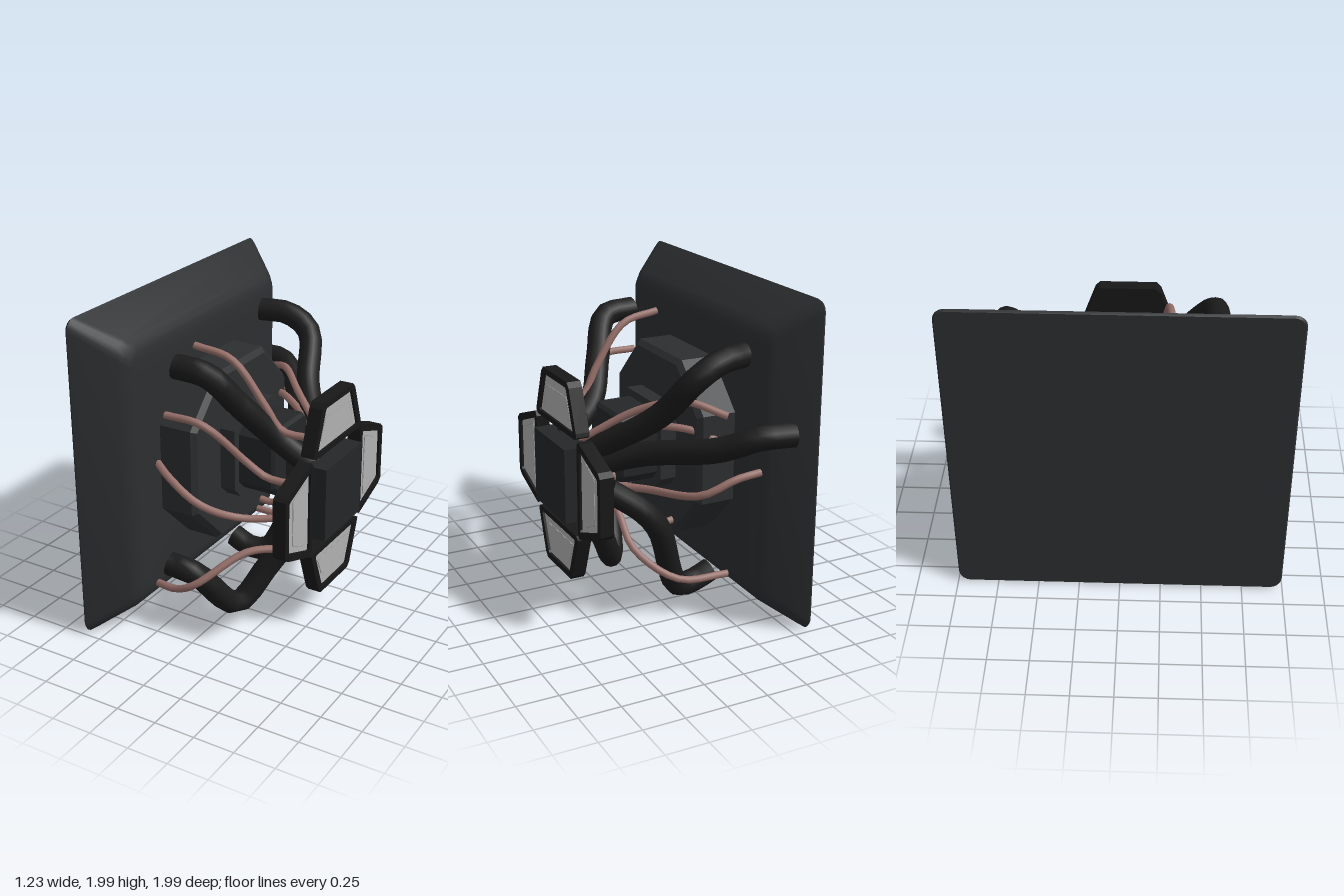
import * as THREE from 'three';
import { toCreasedNormals } from 'three/addons/utils/BufferGeometryUtils.js';

const mat = (color, side = THREE.FrontSide) => new THREE.MeshStandardMaterial({ color, side });

// Rings of rounded squares [halfSize, cornerRadius, z] joined along local z, capped at both ends
function loftSquares(rings) {
  const pos = [], idx = [], q = 5, n = q * 4;
  for (const [h, r, z] of rings)
    for (let c = 0; c < 4; c++)
      for (let i = 0; i < q; i++) {
        const a = (c + i / (q - 1)) * Math.PI / 2, m = (c + 0.5) * Math.PI / 2;
        pos.push(Math.sign(Math.cos(m)) * (h - r) + r * Math.cos(a),
          Math.sign(Math.sin(m)) * (h - r) + r * Math.sin(a), z);
      }
  for (let k = 0; k < rings.length - 1; k++)
    for (let i = 0; i < n; i++) {
      const a = k * n + i, b = k * n + (i + 1) % n;
      idx.push(a, b, b + n, a, b + n, a + n);
    }
  const last = (rings.length - 1) * n;
  for (let i = 1; i < n - 1; i++) idx.push(0, i + 1, i, last, last + i, last + i + 1);
  const g = new THREE.BufferGeometry();
  g.setAttribute('position', new THREE.Float32BufferAttribute(pos, 3));
  g.setIndex(idx);
  return toCreasedNormals(g, 0.6);
}

const shapeOf = (pts) => new THREE.Shape(pts.map(([x, y]) => new THREE.Vector2(x, y)));

// Square with cut corners
function octagon(h, cut) {
  const c = h - cut;
  return shapeOf([[h, -c], [h, c], [c, h], [-c, h], [-h, c], [-h, -c], [-c, -h], [c, -h]]);
}

// Trapezoid with clipped corners, its wide edge facing the hub
function trapezoid(y0, y1, w0, w1, cut) {
  const s = (w0 - w1) / (y1 - y0) * cut;
  const half = [[w0 - cut, y0], [w0, y0 + cut * 0.6], [w0 - s * 0.6, y0 + cut * 1.4], [w1 + s, y1 - cut], [w1 - cut * 0.6, y1]];
  return [...half, ...half.map(([x, y]) => [-x, y]).reverse()];
}

export function createModel() {
  const model = new THREE.Group();
  const dark = mat(0x2c2e30), hub = mat(0x242628), black = mat(0x181818);
  const grey = mat(0xb0b0b0), trim = mat(0x9c9c9c);
  const rubber = mat(0x1b1b1b, THREE.DoubleSide), copper = mat(0x966f69, THREE.DoubleSide);
  const add = (parent, name, geo, material, x = 0, y = 0, z = 0) => {
    const m = new THREE.Mesh(geo, material);
    m.name = name;
    m.position.set(x, y, z);
    parent.add(m);
    return m;
  };
  const extrude = (shape, depth, bevel = 0) => new THREE.ExtrudeGeometry(shape, {
    depth: depth - bevel, bevelEnabled: bevel > 0, bevelThickness: bevel, bevelSize: bevel,
    bevelOffset: -bevel, bevelSegments: 1, curveSegments: 1 });

  // Everything stacked outward from the wall: local +z becomes world +x
  const stack = new THREE.Group();
  stack.name = 'mount';
  stack.rotation.y = Math.PI / 2;
  model.add(stack);

  // Wall plate
  add(stack, 'wallPlate', loftSquares([
    [0.985, 0.06, -0.615], [0.995, 0.07, -0.6], [0.975, 0.07, -0.57],
    [0.85, 0.09, -0.39], [0.815, 0.09, -0.355], [0.775, 0.09, -0.335], [0.73, 0.09, -0.328],
  ]), dark, 0, 1.0, 0);

  // Stepped octagonal base
  add(stack, 'base', extrude(octagon(0.54, 0.27), 0.25, 0.03), dark, 0, 1.0, -0.34);
  add(stack, 'collar', extrude(octagon(0.262, 0.07), 0.12), dark, 0, 1.005, -0.11);
  add(stack, 'neck', extrude(octagon(0.215, 0.06), 0.25, 0.02), hub, 0, 1.005, 0);
  add(stack, 'joint', new THREE.BoxGeometry(0.14, 0.14, 0.22), hub, 0, 0.93, 0.33);

  // Hub with its four lamp panels
  const head = new THREE.Group();
  head.name = 'lampHead';
  head.position.set(-0.013, 0.853, 0);
  stack.add(head);
  add(head, 'verticalArm', new THREE.BoxGeometry(0.1, 0.73, 0.1), hub, 0, 0, 0.43);
  add(head, 'horizontalArm', new THREE.BoxGeometry(0.74, 0.11, 0.11), hub, 0, 0, 0.425);
  add(head, 'hubBlock', new THREE.BoxGeometry(0.456, 0.46, 0.16), hub, 0, 0, 0.53);

  const frame = shapeOf(trapezoid(0.3, 0.617, 0.3, 0.195, 0.03));
  const inner = trapezoid(0.332, 0.58, 0.25, 0.16, 0.012);
  frame.holes.push(new THREE.Path(inner.map(([x, y]) => new THREE.Vector2(x, y))));
  const frameGeo = extrude(frame, 0.085);
  const backGeo = extrude(shapeOf(trapezoid(0.31, 0.607, 0.29, 0.185, 0.03)), 0.03);
  const lensGeo = extrude(shapeOf(inner), 0.04);
  const insetGeo = extrude(shapeOf(trapezoid(0.385, 0.515, 0.2, 0.145, 0.012)), 0.006);
  for (let i = 0; i < 4; i++) {
    const panel = new THREE.Group();
    panel.name = 'lampPanel';
    panel.rotation.z = i * Math.PI / 2;
    head.add(panel);
    add(panel, 'panelFrame', frameGeo, black, 0, 0, 0.48);
    add(panel, 'panelBack', backGeo, black, 0, 0, 0.482);
    add(panel, 'panelLens', lensGeo, grey, 0, 0, 0.51);
    add(panel, 'panelInset', insetGeo, trim, 0, 0, 0.547);
    add(panel, 'panelInsetFace', insetGeo, grey, 0, 0.45 * 0.03, 0.548).scale.set(0.97, 0.97, 1);
  }

  // Cables, with flat ends
  const cable = (name, r, sides, material, ...pts) => {
    const curve = new THREE.CatmullRomCurve3(pts.map((p) => new THREE.Vector3(...p)), false, 'centripetal');
    add(model, name, new THREE.TubeGeometry(curve, 18, r, sides), material);
    for (const t of [0, 1]) {
      const p = curve.getPointAt(t);
      const cap = add(model, name + 'End', new THREE.CircleGeometry(r, sides), material, p.x, p.y, p.z);
      cap.lookAt(p.clone().addScaledVector(curve.getTangentAt(t), t ? 1 : -1));
    }
  };
  const hose = (...pts) => cable('thickCable', 0.073, 12, rubber, ...pts);
  const wire = (...pts) => cable('thinCable', 0.023, 8, copper, ...pts);

  // Thick cables
  hose([-0.2, 1.665, 0.55], [0, 1.64, 0.53], [0.12, 1.43, 0.38], [0.25, 1.2, 0.2], [0.47, 1.02, 0.12]);
  hose([-0.33, 1.64, -0.63], [-0.15, 1.63, -0.67], [0, 1.54, -0.66], [0.12, 1.28, -0.44], [0.43, 0.98, -0.06]);
  hose([-0.5, 1.22, -0.9], [-0.3, 1.22, -0.87], [-0.12, 1.13, -0.72], [0.15, 1.02, -0.32], [0.4, 0.92, -0.1]);
  hose([-0.33, 0.16, -0.28], [-0.2, 0.11, -0.28], [-0.08, 0.13, -0.31], [0.1, 0.57, -0.42], [0.2, 0.7, -0.42], [0.4, 0.85, -0.36]);
  hose([-0.24, 0.41, 0.61], [-0.07, 0.38, 0.59], [0.06, 0.085, 0.33], [0.2, 0.32, 0.18], [0.45, 0.74, 0.06]);

  // Thin cables
  wire([-0.24, 1.7, 0.29], [0, 1.65, 0.27], [0.2, 1.4, 0.24], [0.3, 1.25, 0.21], [0.48, 1.23, 0.18]);
  wire([-0.24, 1.38, 0.61], [0, 1.36, 0.59], [0.2, 1.1, 0.42], [0.3, 1.02, 0.38], [0.48, 1.01, 0.36]);
  wire([-0.33, 1.04, 0.57], [-0.2, 1.0, 0.64], [0, 0.89, 0.65], [0.17, 0.765, 0.47], [0.48, 0.77, 0.28]);
  wire([-0.33, 0.25, 0.61], [-0.15, 0.29, 0.67], [-0.02, 0.36, 0.67], [0.2, 0.53, 0.44], [0.4, 0.53, 0.27]);
  wire([-0.3, 0.25, -0.54], [0.02, 0.27, -0.51], [0.23, 0.44, -0.34], [0.26, 0.64, -0.16], [0.4, 0.8, -0.05]);
  wire([-0.3, 1.02, -0.88], [-0.15, 1.0, -0.87], [0.03, 0.91, -0.8], [0.2, 0.84, -0.4], [0.45, 0.83, -0.12]);
  wire([-0.24, 1.28, -0.61], [-0.05, 1.35, -0.46], [0.15, 1.28, -0.27], [0.45, 1.08, -0.08]);
  wire([-0.24, 1.1, -0.57], [-0.1, 1.17, -0.47], [0.1, 1.18, -0.31], [0.45, 1.07, -0.06]);
  wire([-0.1, 0.52, -0.22], [0.01, 0.52, -0.22], [0.17, 0.74, -0.16], [0.26, 0.84, -0.12], [0.4, 0.85, -0.06]);

  return model;
}
